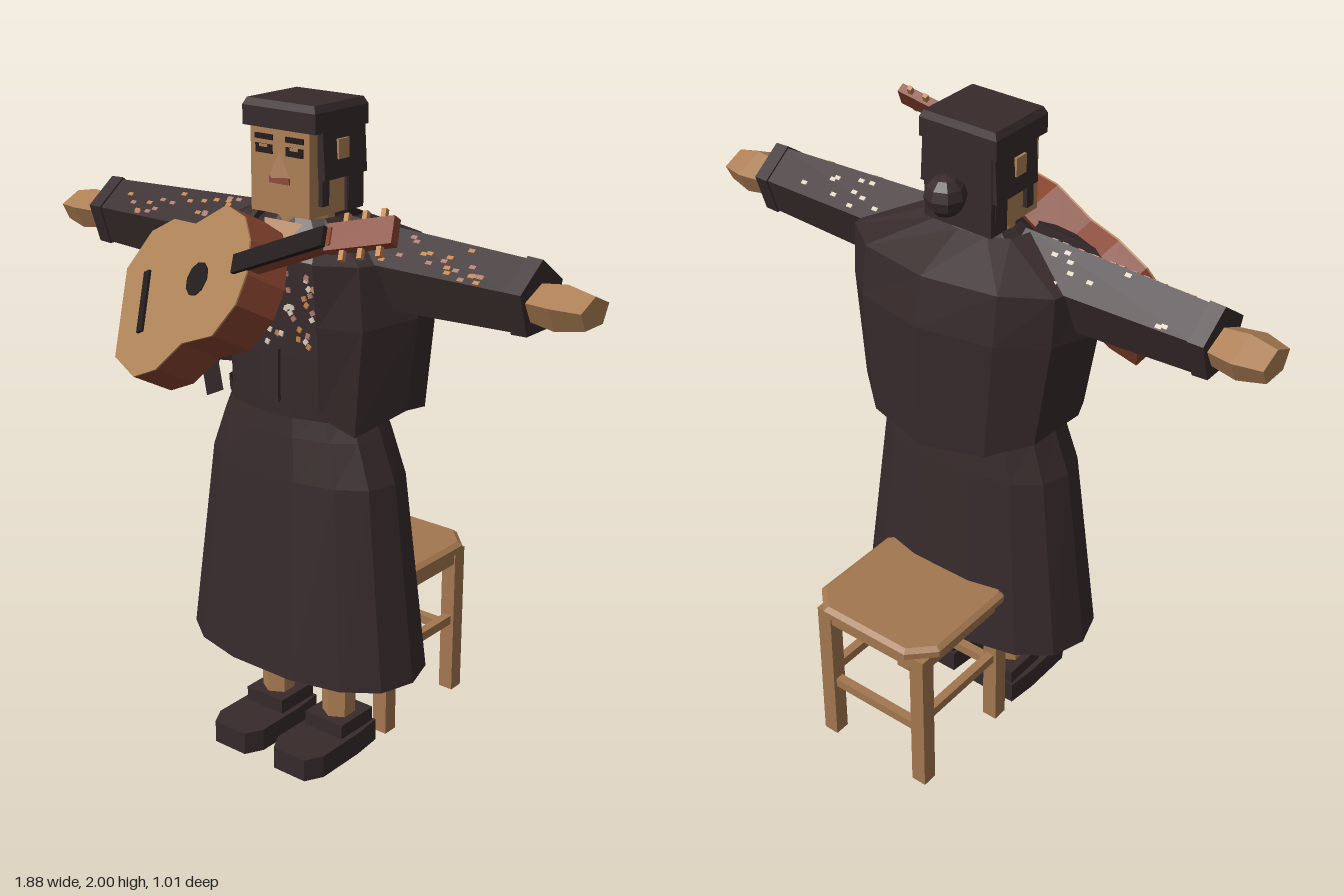
import * as THREE from 'three';

const mat = (color, name, side = THREE.FrontSide) => {
  const m = new THREE.MeshStandardMaterial({ color, flatShading: true, side });
  m.name = name;
  return m;
};
const cloth = mat(0x372a2b, 'dark cloth', THREE.DoubleSide);
const black = mat(0x231b1b, 'near black');
const skin = mat(0xad7f55, 'skin', THREE.DoubleSide);
const wood = mat(0xa37750, 'stool wood');
const spruce = mat(0xb08459, 'guitar top');
const red = mat(0x86432e, 'red wood');
const lip = mat(0x8e4a40, 'lips');
const petals = [mat(0xd8cbb8, 'cream'), mat(0xc0824a, 'orange'), mat(0xa87a70, 'dusty pink')];

function add(parent, name, geo, material, x = 0, y = 0, z = 0) {
  const m = new THREE.Mesh(geo, material);
  m.name = name;
  m.position.set(x, y, z);
  parent.add(m);
  return m;
}
const box = (w, h, d) => new THREE.BoxGeometry(w, h, d);
// Box given by its limits
const span = (p, name, material, x0, x1, y0, y1, z0, z1) =>
  add(p, name, box(x1 - x0, y1 - y0, z1 - z0), material, (x0 + x1) / 2, (y0 + y1) / 2, (z0 + z1) / 2);

// Skin a grid of points, rows running upward
function grid(rows) {
  const n = rows[0].length, index = [];
  for (let i = 0; i < rows.length - 1; i++)
    for (let j = 0; j < n - 1; j++) {
      const a = i * n + j, b = a + n;
      index.push(a, a + 1, b + 1, a, b + 1, b);
    }
  const g = new THREE.BufferGeometry();
  g.setAttribute('position', new THREE.Float32BufferAttribute(rows.flat(2), 3));
  g.setIndex(index);
  g.computeVertexNormals();
  return g;
}
// Closed loft of squarish ovals: [y, rx, rz, cz]
function loft(levels, n = 14, power = 0.85) {
  const bend = (v) => Math.sign(v) * Math.abs(v) ** power;
  return grid(levels.map(([y, rx, rz, cz]) => Array.from({ length: n + 1 }, (_, j) => {
    const a = ((j + 0.5) / n) * Math.PI * 2;
    return [rx * bend(Math.sin(a)), y, cz + rz * bend(Math.cos(a))];
  })));
}
let seed = 7;
const rnd = () => (seed = (seed * 16807) % 2147483647) / 2147483647;

// Five-sided tapered tube pointing sideways, a corner on top
function limb(x0, x1, r0, r1, s) {
  const g = new THREE.CylinderGeometry(r1, r0, x1 - x0, 5);
  g.rotateX(-Math.PI / 2).rotateY(-s * Math.PI / 2);
  return g.translate(s * (x0 + x1) / 2, 0, 0);
}

function buildClothes(g) {
  add(g, 'skirt', loft([[0.315, 0.405, 0.225, 0.07], [0.93, 0.325, 0.178, 0.067],
    [1.06, 0.275, 0.163, 0.067], [1.14, 0.24, 0.152, 0.067]]), cloth);
  add(g, 'bodice', loft([[1.1, 0.245, 0.155, 0.067], [1.3, 0.25, 0.16, 0.067],
    [1.57, 0.24, 0.16, 0.067], [1.68, 0.11, 0.09, 0.067]]), cloth);
  add(g, 'waistband', loft([[1.12, 0.255, 0.163, 0.067], [1.165, 0.258, 0.165, 0.067]]), cloth);
  span(g, 'placket', cloth, -0.032, 0.032, 1.16, 1.32, 0.225, 0.236);
  span(g, 'yoke', cloth, -0.19, 0.19, 1.32, 1.58, 0.222, 0.236);

  // Open-fronted cape; half outlines run from the front edge to the back centre
  const half = [
    [[0.18, 1.15, 0.235], [0.28, 1.10, 0.20], [0.355, 1.16, 0.06], [0.31, 1.12, -0.09], [0.2, 1.08, -0.18], [0, 1.06, -0.222]],
    [[0.2, 1.42, 0.268], [0.32, 1.42, 0.22], [0.395, 1.44, 0.07], [0.35, 1.45, -0.08], [0.23, 1.46, -0.185], [0, 1.46, -0.23]],
    [[0.2, 1.6, 0.288], [0.31, 1.6, 0.225], [0.39, 1.6, 0.07], [0.35, 1.6, -0.07], [0.23, 1.61, -0.165], [0, 1.61, -0.205]],
    [[0.12, 1.66, 0.17], [0.15, 1.68, 0.13], [0.17, 1.685, 0.07], [0.15, 1.685, 0], [0.09, 1.685, -0.03], [0, 1.685, -0.04]],
  ];
  add(g, 'cape', grid(half.map((r) => [...r, ...r.slice(0, -1).reverse().map(([x, y, z]) => [-x, y, z])])), cloth);

  // Flowers scattered on the chest
  for (let i = 0; i < 64; i++)
    add(g, 'chestFlower', box(0.014, 0.014, 0.006), petals[i % 3],
      -0.18 + rnd() * 0.36, 1.335 + rnd() * 0.235, 0.238).rotation.z = rnd() * 3;
}

function buildArm(g, s) {
  const arm = new THREE.Group();
  arm.name = s > 0 ? 'leftArm' : 'rightArm';
  arm.position.set(0, 1.565, 0.07);
  g.add(arm);
  add(arm, 'sleeve', limb(0.15, 0.75, 0.125, 0.101, s), cloth);
  add(arm, 'cuff', limb(0.735, 0.782, 0.108, 0.106, s), cloth);
  add(arm, 'palm', limb(0.77, 0.86, 0.055, 0.068, s).scale(1, 0.9, 1.45), skin, 0, -0.007);
  add(arm, 'fingers', limb(0.86, 0.94, 0.068, 0.05, s).scale(1, 0.9, 1.45), skin, 0, -0.007);
  // Flowers on the two upper faces of the sleeve
  for (let i = 0; i < 30; i++) {
    const side = i % 3 ? 1 : -1, x = 0.24 + rnd() * 0.42;
    const flat = (0.125 - (x - 0.15) * 0.04) * Math.cos(Math.PI / 5), t = (rnd() - 0.5) * 0.11;
    const a = side * Math.PI / 5;
    const f = add(arm, 'sleeveFlower', box(0.019, 0.006, 0.012), petals[i % 3], s * x,
      flat * Math.cos(a) - t * Math.sin(a), flat * Math.sin(a) + t * Math.cos(a));
    f.rotation.x = a;
  }
}

function buildHead(g) {
  const head = new THREE.Group();
  head.name = 'head';
  g.add(head);
  span(head, 'face', skin, -0.105, 0.105, 1.69, 1.95, 0, 0.183);
  add(head, 'neck', new THREE.CylinderGeometry(0.085, 0.09, 0.14, 8), skin, 0, 1.64, 0.08);
  const vee = new THREE.BufferGeometry().setFromPoints([[-0.07, 1.67, 0.17], [0, 1.56, 0.245], [0.07, 1.67, 0.17]]
    .map((p) => new THREE.Vector3(...p)));
  vee.computeVertexNormals();
  add(head, 'neckline', vee, skin);
  // Hair: crown, back, side locks, bun
  add(head, 'crown', new THREE.CylinderGeometry(0.17, 0.184, 0.02, 4).rotateY(Math.PI / 4).scale(1, 1, 0.885), cloth, 0, 1.99, 0.073);
  span(head, 'hairTop', cloth, -0.13, 0.13, 1.925, 1.98, -0.042, 0.188);
  span(head, 'hairBack', cloth, -0.115, 0.115, 1.69, 1.93, -0.042, 0.03);
  for (const s of [-1, 1]) {
    const lock = add(head, 'sideHair', box(0.024, 0.135, 0.185), cloth, s * 0.115, 1.86, 0.055);
    lock.rotation.z = s * 0.06;
    add(head, 'lowerLock', box(0.016, 0.09, 0.05), cloth, s * 0.108, 1.765, 0.0);
    add(head, 'ear', box(0.012, 0.055, 0.045), skin, s * 0.127, 1.873, 0.068);
    add(head, 'sideburn', box(0.014, 0.14, 0.03), cloth, s * 0.112, 1.79, 0.13);
    span(head, 'brow', black, s * 0.055 - 0.032, s * 0.055 + 0.032, 1.893, 1.908, 0.18, 0.188);
    span(head, 'eye', black, s * 0.055 - 0.03, s * 0.055 + 0.03, 1.855, 1.88, 0.18, 0.187);
    span(head, 'eyelid', skin, s * 0.055 - 0.014, s * 0.055 + 0.014, 1.872, 1.88, 0.18, 0.189);
  }
  const nose = new THREE.ConeGeometry(0.034, 0.07, 4);
  add(head, 'nose', nose, skin, 0, 1.832, 0.185);
  span(head, 'mouth', lip, -0.036, 0.036, 1.776, 1.794, 0.18, 0.188);
  add(head, 'bun', new THREE.SphereGeometry(0.06, 8, 6), cloth, 0, 1.807, -0.093);
}

function buildGuitar(g) {
  const guitar = new THREE.Group();
  guitar.name = 'guitar';
  const u = new THREE.Vector3(0.894, 0.443, 0.06).normalize();
  const n = new THREE.Vector3(-0.29, 0.472, 0.833).normalize();
  const v = new THREE.Vector3().crossVectors(n, u).normalize();
  n.crossVectors(u, v);
  guitar.applyMatrix4(new THREE.Matrix4().makeBasis(u, v, n).setPosition(-0.126, 1.527, 0.388));
  g.add(guitar);
  const edge = [[-0.37, 0.14], [-0.26, 0.228], [-0.15, 0.232], [-0.04, 0.182], [0.1, 0.195], [0.19, 0.13], [0.225, 0.05]];
  const outline = new THREE.Shape([...edge, ...edge.slice().reverse().map(([x, y]) => [x, -y])]
    .map(([x, y]) => new THREE.Vector2(x, y)));
  const slab = (depth) => new THREE.ExtrudeGeometry(outline, { depth, bevelEnabled: false });
  add(guitar, 'guitarBody', slab(0.128), red, 0, 0, -0.132);
  add(guitar, 'soundboard', slab(0.005), spruce, 0, 0, -0.004);
  add(guitar, 'soundHole', new THREE.CylinderGeometry(0.05, 0.05, 0.006, 10).rotateX(Math.PI / 2), black);
  add(guitar, 'bridge', box(0.026, 0.19, 0.014), black, -0.25, 0, 0.002);
  // Neck, headstock and pegs
  const neck = new THREE.Group();
  neck.name = 'guitarNeck';
  neck.position.set(0.2, -0.01, 0);
  neck.rotation.z = -0.085;
  guitar.add(neck);
  span(neck, 'neckBack', red, 0, 0.36, -0.024, 0.024, -0.04, -0.001);
  span(neck, 'fretboard', black, -0.03, 0.345, -0.027, 0.027, -0.002, 0.012);
  const stock = new THREE.Group();
  stock.name = 'headstock';
  stock.position.set(0.34, 0, -0.005);
  stock.rotation.y = 0.28;
  neck.add(stock);
  span(stock, 'headPlate', red, 0, 0.2, -0.037, 0.037, -0.025, 0.005);
  for (const s of [-1, 1])
    for (let i = 0; i < 3; i++)
      add(stock, 'peg', box(0.014, 0.028, 0.014), petals[1], 0.05 + i * 0.055, s * 0.05, -0.01);
}

function buildLegs(g, s) {
  add(g, 'leg', new THREE.CylinderGeometry(0.064, 0.05, 0.4, 6), skin, s * 0.122, 0.3, 0.068);
  // Shoe sole outline with a clipped toe
  const shape = new THREE.Shape([[-0.08, 0.02], [0.08, 0.02], [0.09, -0.08], [0.09, -0.25], [0.06, -0.305],
    [-0.06, -0.305], [-0.09, -0.25], [-0.09, -0.08]].map(([x, y]) => new THREE.Vector2(x, y)).reverse());
  const shoe = new THREE.ExtrudeGeometry(shape, { depth: 0.072, bevelEnabled: false }).rotateX(-Math.PI / 2);
  add(g, 'shoe', shoe, cloth, s * 0.12, 0, 0);
  span(g, 'shoeCollar', cloth, s * 0.12 - 0.072, s * 0.12 + 0.072, 0.06, 0.118, -0.012, 0.14);
}

function buildStool(g) {
  const stool = new THREE.Group();
  stool.name = 'stool';
  stool.position.z = -0.27;
  g.add(stool);
  const c = 0.17, w = 0.215;
  const top = new THREE.Shape([[w, c - 0.02], [c - 0.02, w], [-c + 0.02, w], [-w, c - 0.02],
    [-w, -c + 0.02], [-c + 0.02, -w], [c - 0.02, -w], [w, -c + 0.02]].map(([x, y]) => new THREE.Vector2(x, y)));
  add(stool, 'seat', new THREE.ExtrudeGeometry(top, { depth: 0.02, bevelThickness: 0.012, bevelSize: 0.015,
    bevelSegments: 1 }).rotateX(-Math.PI / 2), wood, 0, 0.513, 0);
  for (const s of [-1, 1]) {
    for (const t of [-1, 1]) span(stool, 'stoolLeg', wood, s * 0.18 - 0.025, s * 0.18 + 0.025, 0, 0.505, t * 0.18 - 0.025, t * 0.18 + 0.025);
    add(stool, 'sideApron', box(0.03, 0.045, 0.34), wood, s * 0.185, 0.48, 0);
    add(stool, 'endApron', box(0.34, 0.045, 0.03), wood, 0, 0.48, s * 0.185);
    add(stool, 'sideStretcher', box(0.028, 0.03, 0.34), wood, s * 0.18, 0.255, 0);
    add(stool, 'endStretcher', box(0.34, 0.03, 0.028), wood, 0, 0.213, s * 0.18);
  }
}

export function createModel() {
  const model = new THREE.Group();
  model.name = 'guitarPlayer';
  buildClothes(model);
  buildHead(model);
  buildGuitar(model);
  buildStool(model);
  for (const s of [-1, 1]) {
    buildArm(model, s);
    buildLegs(model, s);
  }
  return model;
}
